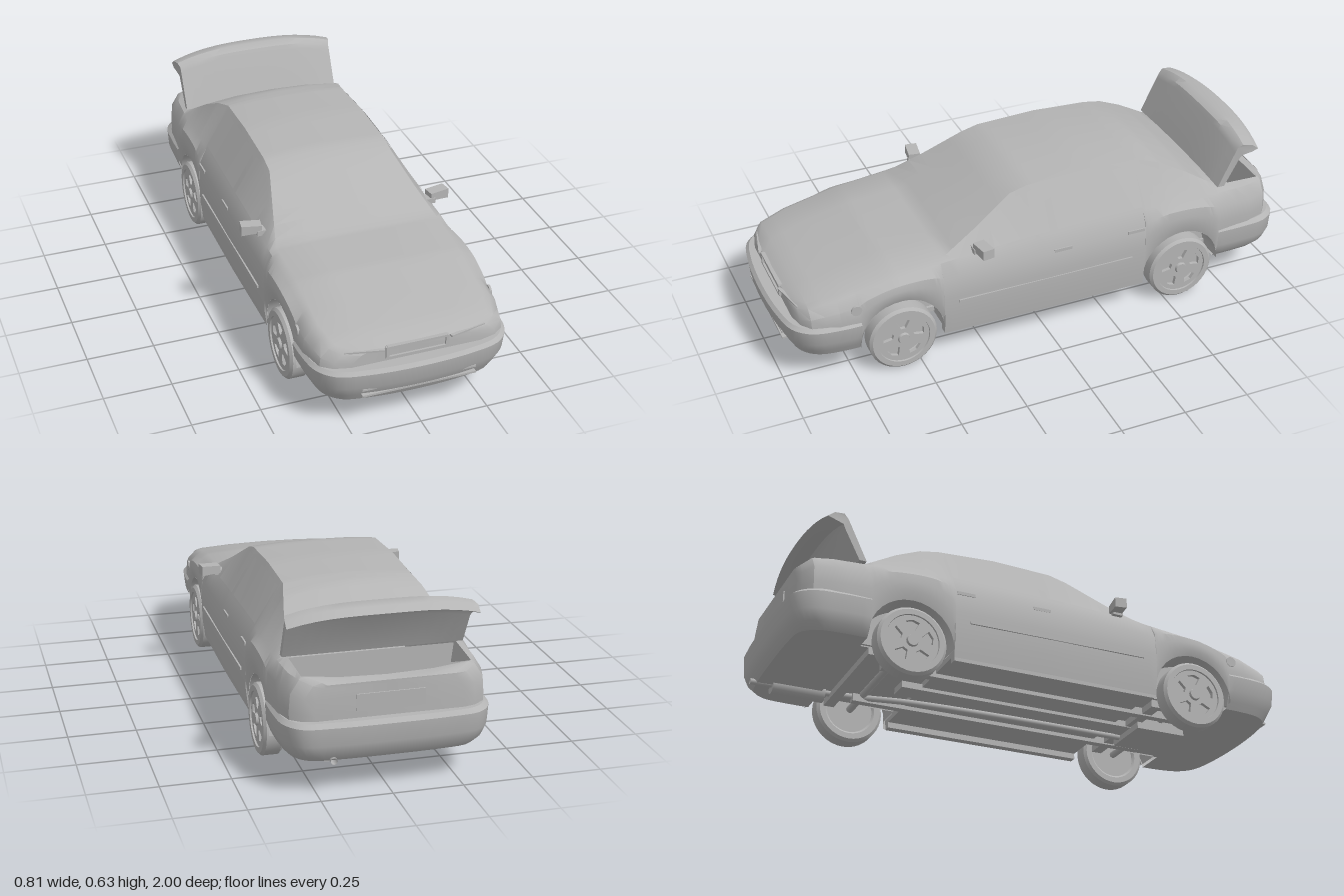
import * as THREE from 'three';
import { toCreasedNormals } from 'three/addons/utils/BufferGeometryUtils.js';

const grey = new THREE.MeshStandardMaterial({ color: 0xb4b4b4, side: THREE.DoubleSide });
grey.name = 'plain grey';

const FRONT = 0.57, REAR = -0.56, ARCH = 0.16, HUB = 0.13;

// Piecewise linear lookup in [z, value] pairs with z descending
function at(table, z) {
  if (z >= table[0][0]) return table[0][1];
  for (let i = 1; i < table.length; i++) {
    const [z0, a] = table[i - 1], [z1, b] = table[i];
    if (z >= z1) return a + (b - a) * (z0 - z) / (z0 - z1);
  }
  return table[table.length - 1][1];
}

// Surface through a grid of points, with optional openings
function grid(rows, skip = () => false, crease = 0.6) {
  const n = rows[0].length, index = [];
  for (let i = 0; i < rows.length - 1; i++) for (let j = 0; j < n - 1; j++) {
    if (skip(i, j)) continue;
    const a = i * n + j, b = a + n;
    index.push(a, b, a + 1, b, b + 1, a + 1);
  }
  const g = new THREE.BufferGeometry();
  g.setAttribute('position', new THREE.Float32BufferAttribute(rows.flat(2), 3));
  g.setIndex(index);
  return toCreasedNormals(g, crease);
}

function add(parent, name, geometry, x = 0, y = 0, z = 0) {
  const m = new THREE.Mesh(geometry, grey);
  m.name = name;
  m.position.set(x, y, z);
  parent.add(m);
  return m;
}
const box = (w, h, d) => new THREE.BoxGeometry(w, h, d);
const tube = (pts, r) => new THREE.TubeGeometry(
  new THREE.CatmullRomCurve3(pts.map(p => new THREE.Vector3(...p))), 24, r, 8);

// Body dimensions along the length: half widths and heights
const waist = [[.945, .24], [.93, .3], [.9, .338], [.8, .362], [.6, .37], [0, .376], [-.7, .37], [-.85, .36], [-.92, .34], [-.95, .3], [-.96, .26]];
const beltY = [[.945, .288], [.9, .312], [.8, .335], [.6, .375], [.36, .4], [0, .41], [-.5, .42], [-.72, .41], [-.93, .408], [-.96, .385]];
const edgeX = [[.945, .18], [.9, .28], [.8, .305], [.38, .312], [.1, .24], [-.42, .236], [-.55, .265], [-.73, .3], [-.91, .295], [-.96, .22]];
const edgeY = [[.945, .298], [.9, .32], [.8, .345], [.6, .39], [.38, .411], [.25, .475], [.1, .56], [.03, .578], [-.2, .588], [-.42, .578], [-.5, .555], [-.6, .505], [-.73, .425], [-.93, .415], [-.96, .395]];
const topY = [[.945, .303], [.9, .33], [.8, .355], [.6, .4], [.38, .417], [.25, .488], [.1, .57], [.03, .588], [-.2, .6], [-.4, .594], [-.48, .585], [-.6, .525], [-.73, .433], [-.75, .42], [-.91, .395], [-.96, .39]];

function bottomY(z) {
  let y = z > .72 ? .16 : z < -.71 ? .17 : .1;
  for (const c of [FRONT, REAR]) {
    const d = Math.abs(z - c);
    if (d < ARCH) y = Math.max(y, HUB + Math.sqrt(ARCH * ARCH - d * d));
  }
  return y;
}

// Half cross-section from sill to roof centre
function section(z) {
  const w = at(waist, z), b = at(beltY, z), lo = bottomY(z);
  const ex = at(edgeX, z), ey = at(edgeY, z), t = at(topY, z);
  const side = [[.97, 0], [.995, .25], [1, .55], [.985, .8]].map(([k, f]) => [w * k, lo + (b - lo) * f]);
  return [...side, [w - .035, b], [ex, ey], [ex * .55, ey + (t - ey) * .75], [0, t]];
}

function bodyShell() {
  const zs = new Set([.945, .93, .38, .1, .03, -.42, -.73, -.75, -.91, -.92, -.95, -.96]);
  for (let z = -.9; z < .92; z += .05) zs.add(+z.toFixed(3));
  for (const c of [FRONT, REAR]) for (let k = 0; k <= 16; k++)
    zs.add(+(c + Math.cos(k * Math.PI / 16) * (ARCH - .0005)).toFixed(4));
  for (const c of [FRONT, REAR]) for (const s of [-1, 1]) zs.add(+(c + s * (ARCH + .001)).toFixed(4));
  const stations = [...zs].sort((a, b) => b - a);
  const rows = stations.map(z => {
    const h = section(z);
    const mirrored = h.slice(0, -1).reverse().map(([x, y]) => [-x, y]);
    return [...h, ...mirrored].map(([x, y]) => [x, y, z]);
  });
  const flat = r => r.map(([, y, z]) => [0, y, z]);
  // The boot opening is left out of the rear deck
  const skip = (i, j) => i > 0 && i < stations.length && stations[i - 1] <= -.73 && stations[i] >= -.91 && j >= 5 && j <= 8;
  return grid([flat(rows[0]), ...rows, flat(rows[rows.length - 1])], skip);
}

// Wrap-round bumper: a plan curve repeated at several heights
function bumper(plan, levels) {
  const half = plan.map(([x, z]) => new THREE.Vector3(x, 0, z));
  const all = [...half, ...half.slice(0, -1).reverse().map(p => new THREE.Vector3(-p.x, 0, p.z))];
  const pts = new THREE.CatmullRomCurve3(all, false, 'centripetal').getPoints(36);
  const rows = levels.map(([y, inset]) => pts.map(p =>
    [p.x * (1 - inset / .37), y, p.z * (1 - inset * Math.max(0, Math.abs(p.z) - .72) / .28)]));
  const close = r => r.map(([, y, z]) => [0, y, z]);
  return grid([close(rows[0]), ...rows, close(rows[rows.length - 1])]);
}

function wheel() {
  const g = new THREE.Group();
  g.name = 'wheel';
  const profile = [[.09, -.03], [.098, -.037], [.12, -.037], [.13, -.027], [.13, .027], [.12, .037], [.1, .037], [.096, .018]];
  const tyre = new THREE.LatheGeometry(profile.map(p => new THREE.Vector2(...p)), 36);
  add(g, 'tyre', toCreasedNormals(tyre.rotateZ(-Math.PI / 2), .6));
  // Rim face with five windows
  const face = new THREE.Shape().absarc(0, 0, .099, 0, Math.PI * 2);
  for (let i = 0; i < 5; i++) {
    const a = i * Math.PI * .4 + Math.PI / 2;
    const corner = [[.042, -.22], [.078, -.34], [.082, 0], [.078, .34], [.042, .22]];
    face.holes.push(new THREE.Path(corner.map(([r, d]) => new THREE.Vector2(r * Math.cos(a + d), r * Math.sin(a + d)))));
  }
  const rim = new THREE.ExtrudeGeometry(face, { depth: .014, bevelEnabled: false, curveSegments: 24 });
  add(g, 'rim', rim.rotateY(Math.PI / 2), .017);
  add(g, 'brakeDisc', new THREE.CylinderGeometry(.095, .095, .012, 28).rotateZ(Math.PI / 2), -.012);
  add(g, 'hubCap', new THREE.CylinderGeometry(.02, .024, .012, 16).rotateZ(-Math.PI / 2), .034);
  return g;
}

// Raised boot lid with a lip along its free edge
function bootLid() {
  const outline = [[-.725, .428], [-.79, .598], [-.8, .618], [-.83, .632], [-.88, .626], [-.905, .606], [-.88, .597], [-.835, .587], [-.815, .565], [-.752, .428]];
  const shape = new THREE.Shape(outline.map(p => new THREE.Vector2(...p)));
  const g = new THREE.ExtrudeGeometry(shape, { depth: 2, steps: 14, bevelEnabled: false });
  g.rotateY(-Math.PI / 2).translate(1, 0, 0);
  const p = g.attributes.position;
  for (let i = 0; i < p.count; i++) {
    const u = p.getX(i), y = p.getY(i), up = THREE.MathUtils.smoothstep(y, .5, .6);
    const lip = THREE.MathUtils.smoothstep(-p.getZ(i), .8, .86);
    p.setXYZ(i, u * (.322 + .014 * lip), y - .034 * up * Math.abs(u) ** 3, p.getZ(i) + .025 * lip * u * u);
  }
  return toCreasedNormals(g, .6);
}

export function createModel() {
  const car = new THREE.Group();
  car.name = 'car';
  add(car, 'bodyShell', bodyShell());
  add(car, 'frontBumper', bumper(
    [[.372, .725], [.37, .8], [.352, .9], [.3, .96], [.19, .988], [0, 1]],
    [[.112, .04], [.14, .025], [.18, .006], [.235, 0], [.248, .012]]));
  add(car, 'rearBumper', bumper(
    [[.373, -.715], [.372, -.82], [.36, -.92], [.31, -.98], [.2, -.996], [0, -1]],
    [[.125, .04], [.15, .018], [.19, .004], [.255, 0], [.27, .014]]));
  add(car, 'bootLid', bootLid());

  // Boot tub below the opening
  const ring = (w, y) => [[w, -.73], [w, -.91], [-w, -.91], [-w, -.73], [w, -.73]].map(([x, z]) => [x, y, z]);
  add(car, 'bootTub', grid([ring(.297, .415), ring(.27, .2), ring(0, .2)]));

  // Grille, intake, number plate recess
  for (const y of [.262, .302]) add(car, 'grilleBar', box(.22, .008, .016), 0, y, .945);
  for (const x of [-.11, .11]) add(car, 'grilleSide', box(.012, .045, .016), x, .282, .945);
  for (const y of [.143, .168]) add(car, 'intakeLip', box(.42, .007, .02), 0, y, .969);
  add(car, 'rearPlateFrame', box(.24, .06, .008), 0, .325, -.961);

  // Underbody
  add(car, 'floorPan', box(.52, .02, 1.84), 0, .145, 0);
  add(car, 'cabinFloor', box(.71, .02, .8), 0, .125, .005);
  add(car, 'centreTunnel', box(.08, .025, .95), 0, .115, 0);
  add(car, 'exhaustPipe', tube([[.06, .1, .5], [.05, .095, .1], [.08, .1, -.4], [.17, .125, -.6], [.2, .13, -.98]], .012));
  add(car, 'silencer', new THREE.CylinderGeometry(.035, .035, .2, 16).rotateX(Math.PI / 2), .2, .13, -.8);
  add(car, 'sumpGuard', box(.2, .05, .2), 0, .105, .57);
  for (const z of [FRONT, REAR]) {
    add(car, 'axle', new THREE.CylinderGeometry(.014, .014, .6, 10).rotateZ(Math.PI / 2), 0, HUB, z);
    add(car, 'crossMember', box(.5, .025, .04), 0, .118, z - .1);
  }

  for (const s of [1, -1]) {
    add(car, 'sillRail', box(.03, .025, .8), s * .335, .105, .005);
    add(car, 'chassisRail', box(.03, .03, 1.2), s * .16, .115, 0);

    // Wheels and wheel wells
    for (const z of [FRONT, REAR]) {
      const w = wheel();
      w.position.set(s * .334, HUB, z);
      if (s < 0) w.rotation.y = Math.PI;
      car.add(w);
      const arc = (r, x) => Array.from({ length: 17 }, (_, k) =>
        [s * x, HUB + r * Math.sin(k * Math.PI / 16), z + r * Math.cos(k * Math.PI / 16)]);
      add(car, 'wheelWell', grid([arc(ARCH, .36), arc(ARCH, .25), arc(0, .25)]));
    }

    // Door glass, laid just proud of the body side
    for (const [z0, z1] of [[.2, -.02], [-.05, -.4]]) {
      const rows = [];
      for (let i = 0; i <= 6; i++) {
        const z = z0 + (z1 - z0) * i / 6, h = section(z);
        rows.push([.06, .9].map(t => [
          s * (h[4][0] + (h[5][0] - h[4][0]) * t + .003), h[4][1] + (h[5][1] - h[4][1]) * t + .001, z]));
      }
      add(car, 'doorGlass', grid(rows));
    }
    for (const z of [-.06, -.36]) add(car, 'doorHandle', box(.01, .012, .07), s * .366, .352, z);
    add(car, 'sideMoulding', box(.006, .01, .7), s * .376, .24, .005);

    // Door mirror, tapering towards its stalk
    const m = box(.075, .038, .045);
    const p = m.attributes.position;
    for (let i = 0; i < p.count; i++) if (p.getX(i) * s < 0) p.setY(i, p.getY(i) * .75 + .001);
    m.computeVertexNormals();
    add(car, 'doorMirror', m, s * .366, .432, .255).rotation.y = s * .15;
    add(car, 'mirrorStalk', box(.05, .02, .04), s * .325, .418, .265);

    // Headlamp surround and side lamp
    add(car, 'headlampRim', box(.14, .006, .012), s * .19, .299, .938).rotation.y = s * .22;
    add(car, 'sideLamp', new THREE.CylinderGeometry(.02, .02, .008, 16).rotateZ(Math.PI / 2), s * .361, .298, .74);
  }
  return car;
}
